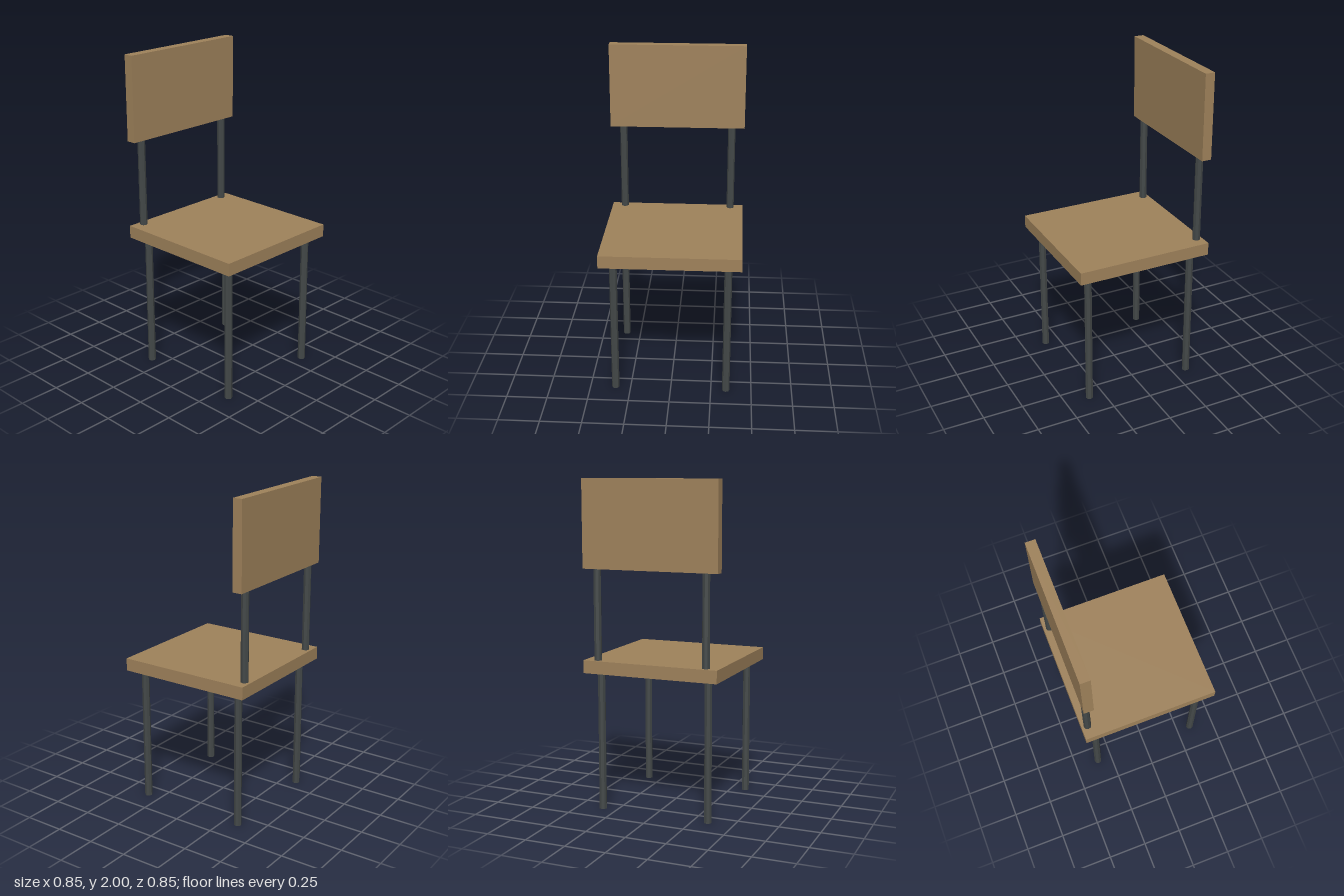
import * as THREE from 'three';

export function createModel() {
  const model = new THREE.Group();
  model.name = 'chair';

  const wood = new THREE.MeshStandardMaterial({ color: 0x9f825b });
  wood.name = 'wood';
  const metal = new THREE.MeshStandardMaterial({ color: 0x434848, flatShading: true });
  metal.name = 'darkMetal';

  // Wooden board given by its size, bottom height and depth position
  function board(name, width, height, depth, bottom, z) {
    const mesh = new THREE.Mesh(new THREE.BoxGeometry(width, height, depth), wood);
    mesh.name = name;
    mesh.position.set(0, bottom + height / 2, z);
    model.add(mesh);
  }

  // Upright metal rod between two heights
  function rod(name, x, z, bottom, top) {
    const geometry = new THREE.CylinderGeometry(0.0235, 0.0235, top - bottom, 8);
    const mesh = new THREE.Mesh(geometry, metal);
    mesh.name = name;
    mesh.position.set(x, (bottom + top) / 2, z);
    model.add(mesh);
  }

  board('seat', 0.847, 0.078, 0.847, 0.853, 0);
  board('backrest', 0.847, 0.524, 0.06, 1.476, -0.385);

  // Legs and backrest posts, mirrored left and right
  for (const [side, x] of [['Left', 0.343], ['Right', -0.343]]) {
    rod('front' + side + 'Leg', x, 0.343, 0, 0.853);
    rod('back' + side + 'Leg', x, -0.343, 0, 0.853);
    rod('back' + side + 'Post', x, -0.385, 0.931, 1.476);
  }

  return model;
}
